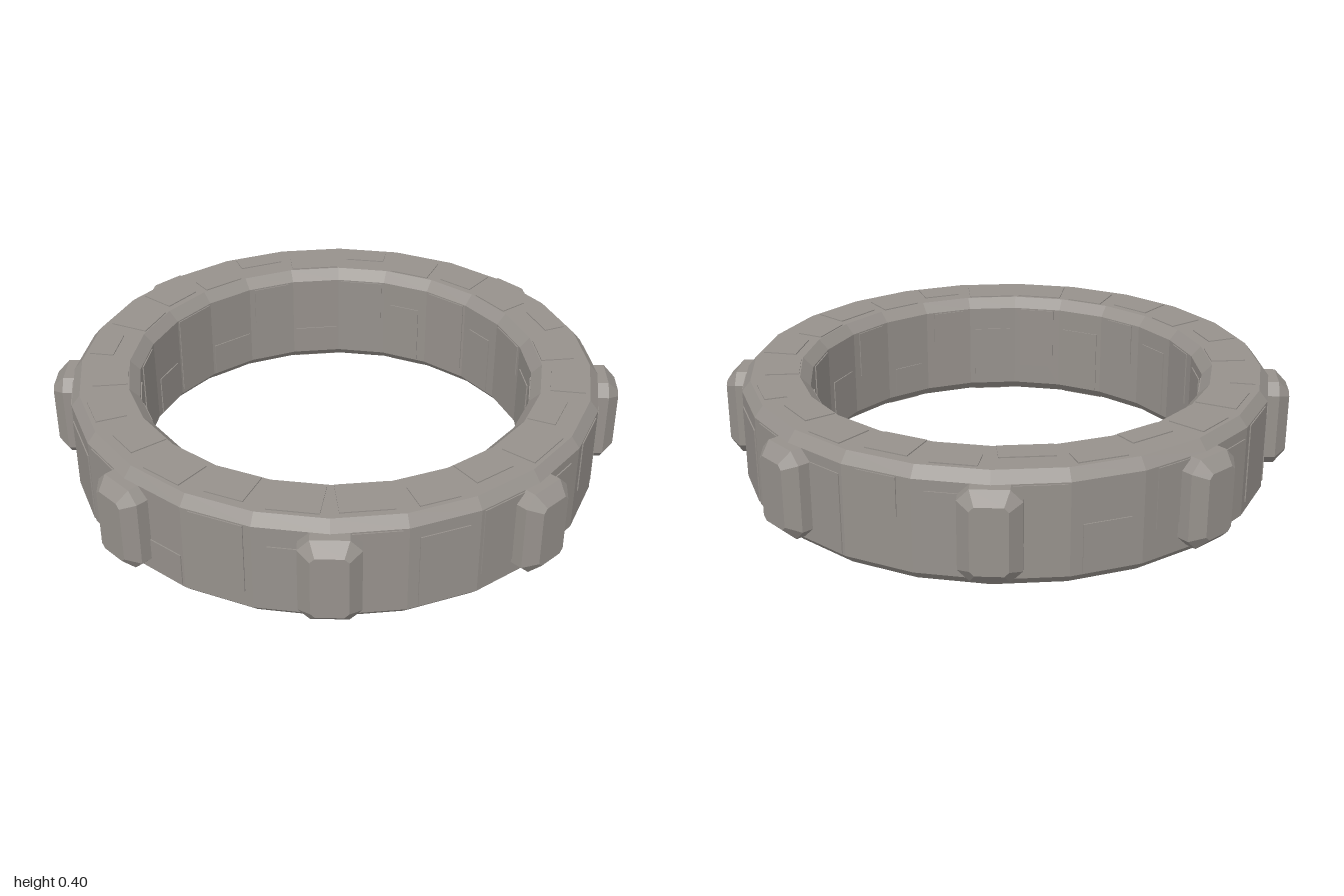
import * as THREE from 'three';

export function createModel() {
  const model = new THREE.Group();
  const stone = new THREE.MeshStandardMaterial({ color: 0x96918c, flatShading: true });
  stone.name = 'warm grey stone';

  const SIDES = 24;
  const STEP = (Math.PI * 2) / SIDES;
  const APOTHEM = Math.cos(STEP / 2);

  // small seeded generator for the irregular masonry
  let seed = 7;
  const rand = (min, max) => {
    seed = (seed * 16807) % 2147483647;
    return min + (max - min) * (seed / 2147483647);
  };

  const add = (parent, name, geometry, x = 0, y = 0, z = 0) => {
    const mesh = new THREE.Mesh(geometry, stone);
    mesh.name = name;
    mesh.position.set(x, y, z);
    parent.add(mesh);
    return mesh;
  };

  // ring wall: closed chamfered profile, anticlockwise from the bottom outer edge
  const profile = [
    [0.895, 0.004], [0.93, 0.04], [0.93, 0.36], [0.9, 0.396],
    [0.73, 0.396], [0.695, 0.36], [0.695, 0.04], [0.73, 0.004], [0.895, 0.004],
  ].map(([r, y]) => new THREE.Vector2(r, y));
  add(model, 'ringWall', new THREE.LatheGeometry(profile, SIDES));

  // slightly raised stones on each facet of the ring
  for (let i = 0; i < SIDES; i++) {
    const facet = new THREE.Group();
    facet.name = 'facetStones';
    facet.rotation.y = (i + 0.5) * STEP;
    model.add(facet);

    const outerH = rand(0.12, 0.3);
    const outerY = i % 2 ? 0.355 - outerH / 2 : 0.045 + outerH / 2;
    add(facet, 'outerStone', new THREE.BoxGeometry(rand(0.14, 0.23), outerH, 0.008),
      0, outerY, 0.93 * APOTHEM);

    const innerH = rand(0.1, 0.3);
    const innerY = i % 2 ? 0.045 + innerH / 2 : 0.355 - innerH / 2;
    add(facet, 'innerStone', new THREE.BoxGeometry(rand(0.1, 0.17), innerH, 0.008),
      0, innerY, 0.695 * APOTHEM);

    for (const [name, y] of [['topStone', 0.396], ['bottomStone', 0.004]]) {
      const depth = rand(0.07, 0.15);
      const z = i % 2 ? 0.735 + depth / 2 : 0.885 - depth / 2;
      add(facet, name, new THREE.BoxGeometry(rand(0.12, 0.18), 0.008, depth), 0, y, z * APOTHEM);
    }
  }

  // eight bevelled studs around the outside
  const w = 0.06, h = 0.115, cut = 0.015;
  const outline = new THREE.Shape([
    [-w + cut, -h], [w - cut, -h], [w, -h + cut], [w, h - cut],
    [w - cut, h], [-w + cut, h], [-w, h - cut], [-w, -h + cut],
  ].map(([x, y]) => new THREE.Vector2(x, y)));
  const studGeometry = new THREE.ExtrudeGeometry(outline, {
    depth: 0.08, bevelEnabled: true, bevelSize: 0.04, bevelThickness: 0.04, bevelSegments: 1,
  });
  for (let i = 0; i < 8; i++) {
    const a = (i * Math.PI) / 4;
    const r = 0.88;
    add(model, 'stud', studGeometry, Math.sin(a) * r, 0.205, Math.cos(a) * r).rotation.y = a;
  }

  return model;
}
